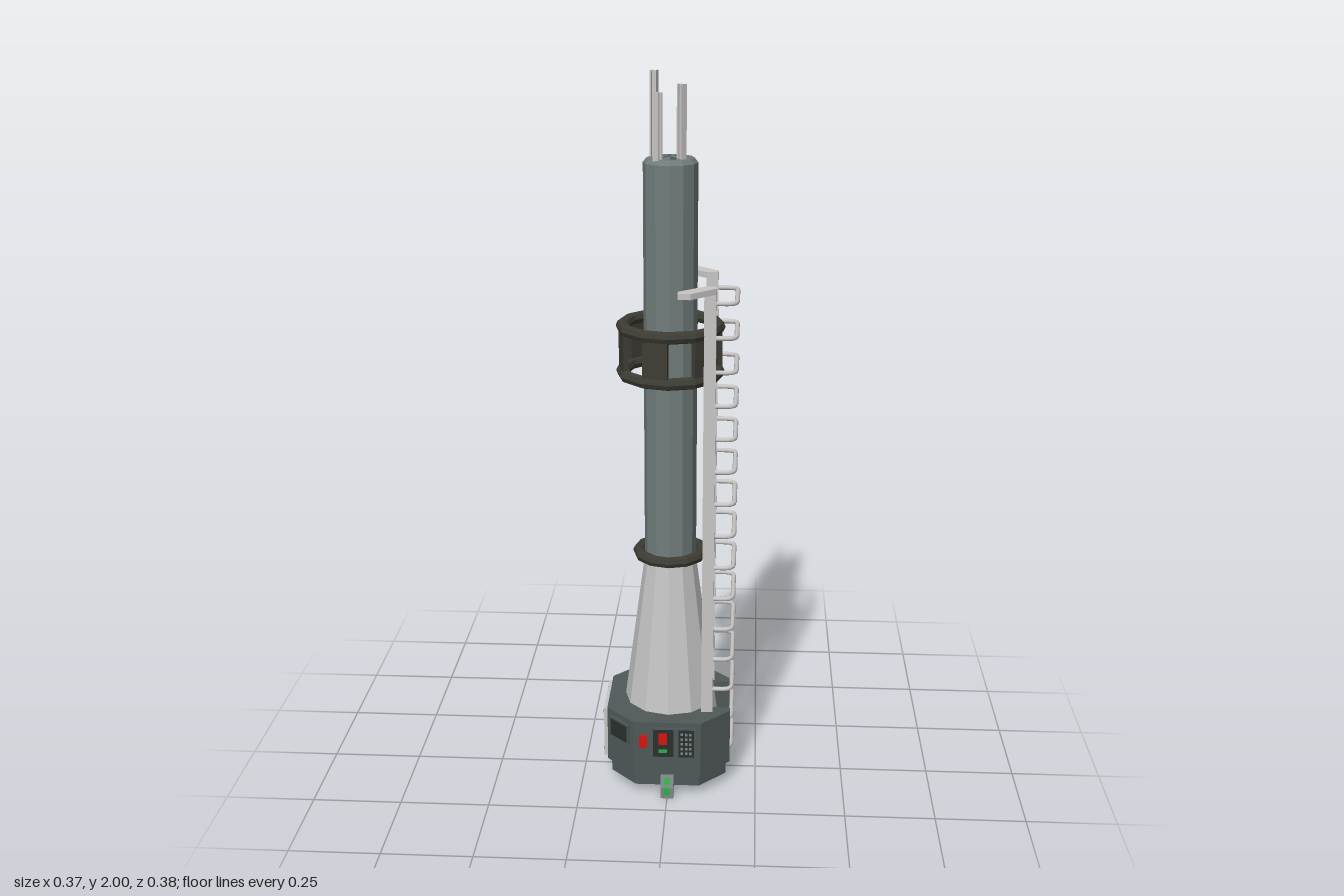
import * as THREE from 'three';

const mat = (name, color, flat = true) => {
  const m = new THREE.MeshStandardMaterial({ color, flatShading: flat });
  m.name = name;
  return m;
};

export function createModel() {
  const M = {
    base: mat('darkGreyGreen', 0x505a58),
    column: mat('greyGreen', 0x717d7b),
    cone: mat('lightGrey', 0xc6c6c6),
    ladder: mat('paleMetal', 0xc9c6c6, false),
    ring: mat('darkOlive', 0x3d3c34),
    panel: mat('panelBlack', 0x2b302e),
    key: mat('keyGrey', 0x7f8784),
    red: mat('red', 0xd81410),
    green: mat('green', 0x2fae4a),
  };
  const root = new THREE.Group();
  root.name = 'beaconTower';

  const add = (name, geo, material, x = 0, y = 0, z = 0, ry = 0, parent = root) => {
    const mesh = new THREE.Mesh(geo, material);
    mesh.name = name;
    mesh.position.set(x, y, z);
    mesh.rotation.y = ry;
    parent.add(mesh);
    return mesh;
  };
  const box = (name, w, h, d, material, x, y, z, ry = 0, parent = root) =>
    add(name, new THREE.BoxGeometry(w, h, d), material, x, y, z, ry, parent);

  // Plan outline given as [x, z] points, extruded upward from y0 to y1
  const slab = (pts, y0, y1) => {
    const shape = new THREE.Shape(pts.map(([x, z]) => new THREE.Vector2(x, z)));
    const geo = new THREE.ExtrudeGeometry(shape, { depth: y1 - y0, bevelEnabled: false });
    return geo.rotateX(Math.PI / 2).translate(0, y1, 0);
  };
  const octagon = (r, c) => [[r, c], [c, r], [-c, r], [-r, c], [-r, -c], [-c, -r], [c, -r], [r, -c]];

  // Base: plinth below, octagonal housing with a ladder recess on the left side
  add('plinth', slab(octagon(0.164, 0.09), 0.03, 0.07), M.base);
  const recess = [[0.175, -0.08], [0.11, -0.075], [0.11, 0.075], [0.175, 0.08]];
  add('housing', slab([...octagon(0.175, 0.095), ...recess], 0.07, 0.235), M.base);

  // Tapered skirt and column, twelve sided
  add('taperedSkirt', new THREE.CylinderGeometry(0.07, 0.151, 0.615, 12), M.cone, 0, 0.3775, 0);
  add('column', new THREE.CylinderGeometry(0.072, 0.072, 1.09, 12), M.column, 0, 1.225, 0);
  add('columnCap', new THREE.CylinderGeometry(0.062, 0.072, 0.012, 12), M.column, 0, 1.776, 0);

  // Radial vent on the cap: alternating wedges
  for (let i = 0; i < 6; i++) {
    add('ventWedge', new THREE.CylinderGeometry(0.037, 0.037, 0.003, 1, 1, false, i * Math.PI / 3, Math.PI / 6),
      M.base, 0, 1.783, 0);
  }

  // Rings
  const ring = (name, R, tube, y) =>
    add(name, new THREE.TorusGeometry(R, tube, 8, 12).rotateX(Math.PI / 2), M.ring, 0, y, 0);
  ring('skirtRing', 0.089, 0.016, 0.685);
  ring('collarLowerRing', 0.13, 0.017, 1.21);
  ring('collarUpperRing', 0.13, 0.017, 1.335);
  for (let i = 0; i < 6; i++) {
    const a = Math.PI / 4 + i * Math.PI / 3;
    const r = 0.128;
    box('collarPanel', 0.069, 0.13, 0.014, M.ring, r * Math.cos(a), 1.2725, r * Math.sin(a), Math.PI / 2 - a);
  }

  // I-section antennas: x, z, top height
  const f = 0.009, w = 0.0025;
  const iSection = [[-f, -f], [f, -f], [f, -f + 0.004], [w, -f + 0.004], [w, f - 0.004], [f, f - 0.004],
    [f, f], [-f, f], [-f, f - 0.004], [-w, f - 0.004], [-w, -f + 0.004], [-f, -f + 0.004]];
  for (const [x, z, top] of [[-0.043, -0.013, 2], [-0.031, 0.044, 1.95], [0.03, 0.029, 1.97], [0.026, -0.036, 1.905]]) {
    add('antenna', slab(iSection, 1.77, top), M.ladder, x, 0, z, Math.atan2(x, z));
  }

  // Ladder: rails with angled grab plates, and bowed rungs
  const ladder = new THREE.Group();
  ladder.name = 'ladder';
  root.add(ladder);
  for (const s of [1, -1]) {
    box('ladderRail', 0.032, 1.26, 0.022, M.ladder, 0.109, 0.83, s * 0.096, 0, ladder);
    const grip = [[0.027, 0.17], [0.06, 0.17], [0.125, 0.107], [0.125, 0.085], [0.093, 0.085], [0.027, 0.146]]
      .map(([x, z]) => [x, s * z]);
    add('grabPlate', slab(grip, 1.447, 1.463), M.ladder, 0, 0, 0, 0, ladder);
  }
  const rungPath = new THREE.CurvePath();
  const P = (x, z) => new THREE.Vector3(x, 0, z);
  rungPath.add(new THREE.LineCurve3(P(0.11, -0.092), P(0.15, -0.092)));
  rungPath.add(new THREE.QuadraticBezierCurve3(P(0.15, -0.092), P(0.178, -0.092), P(0.178, -0.066)));
  rungPath.add(new THREE.LineCurve3(P(0.178, -0.066), P(0.178, 0.066)));
  rungPath.add(new THREE.QuadraticBezierCurve3(P(0.178, 0.066), P(0.178, 0.092), P(0.15, 0.092)));
  rungPath.add(new THREE.LineCurve3(P(0.15, 0.092), P(0.11, 0.092)));
  const rungGeo = new THREE.TubeGeometry(rungPath, 36, 0.0065, 8);
  for (let i = 0; i < 15; i++) add('rung', rungGeo, M.ladder, 0, 0.115 + i * 0.0932, 0, 0, ladder);

  // Sloping feet with signal lamps, green at the front and red at the back
  for (const s of [1, -1]) {
    const foot = new THREE.Group();
    foot.name = s > 0 ? 'frontFoot' : 'backFoot';
    foot.rotation.y = s > 0 ? 0 : Math.PI;
    root.add(foot);
    const side = new THREE.Shape([[0.15, 0.03], [0.172, 0], [0.188, 0], [0.188, 0.035], [0.174, 0.068], [0.15, 0.068]]
      .map(([z, y]) => new THREE.Vector2(-z, y)));
    const geo = new THREE.ExtrudeGeometry(side, { depth: 0.036, bevelEnabled: false })
      .rotateY(Math.PI / 2).translate(-0.018, 0, 0);
    add('footBlock', geo, M.key, 0, 0, 0, 0, foot);
    box('footLamp', 0.018, 0.02, 0.004, s > 0 ? M.green : M.red, 0, 0.023, 0.1885, 0, foot);
    const upper = box('footLampUpper', 0.018, 0.018, 0.004, s > 0 ? M.green : M.red, 0, 0.05, 0.182, 0, foot);
    upper.rotation.x = -0.4;
  }

  // Right side access plate with corner rivets
  box('accessPlate', 0.012, 0.15, 0.17, M.cone, -0.18, 0.15, 0);
  for (const y of [0.09, 0.21]) {
    for (const z of [-0.07, 0.07]) box('rivet', 0.003, 0.008, 0.008, M.key, -0.187, y, z);
  }

  // Front chamfer plate and its inset
  const c = 0.1365;
  box('chamferPlate', 0.08, 0.062, 0.008, M.base, -c, 0.187, c, -Math.PI / 4);
  box('chamferInset', 0.068, 0.05, 0.004, M.panel, -c - 0.003, 0.187, c + 0.003, -Math.PI / 4);

  // Front controls
  box('redSwitch', 0.022, 0.036, 0.012, M.red, -0.067, 0.177, 0.179);
  box('controlPanel', 0.12, 0.095, 0.005, M.base, 0.02, 0.172, 0.1765);
  box('switchPlate', 0.058, 0.085, 0.003, M.panel, -0.01, 0.172, 0.179);
  box('keypadPlate', 0.044, 0.085, 0.003, M.panel, 0.054, 0.172, 0.179);
  box('redButton', 0.024, 0.034, 0.006, M.red, -0.012, 0.187, 0.181);
  box('greenIndicator', 0.024, 0.01, 0.003, M.green, -0.012, 0.148, 0.181);
  for (let i = 0; i < 3; i++) {
    for (let j = 0; j < 5; j++) {
      box('key', 0.007, 0.007, 0.003, M.key, 0.042 + i * 0.012, 0.142 + j * 0.015, 0.181);
    }
  }
  return root;
}
